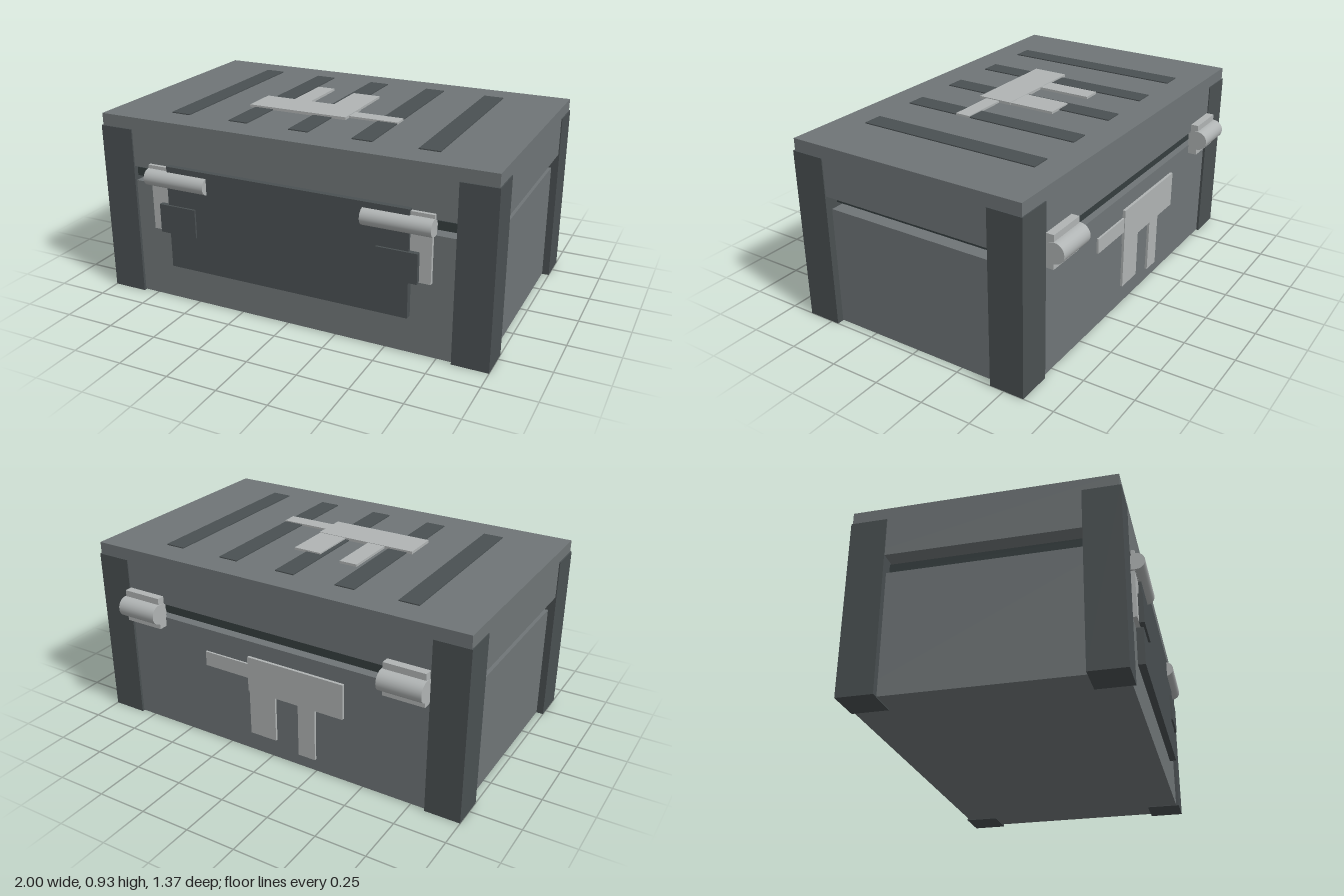
import * as THREE from 'three';

const mat = (color) => new THREE.MeshStandardMaterial({ color, flatShading: false });

export function createModel() {
  const root = new THREE.Group();
  const shell = mat(0x6f7577), dark = mat(0x4a5052), seal = mat(0x353e3f), metal = mat(0xb0b4b4);

  // Box given by its minimum and maximum along each axis
  const box = (name, material, [x0, x1], [y0, y1], [z0, z1], parent = root) => {
    const mesh = new THREE.Mesh(new THREE.BoxGeometry(x1 - x0, y1 - y0, z1 - z0), material);
    mesh.position.set((x0 + x1) / 2, (y0 + y1) / 2, (z0 + z1) / 2);
    mesh.name = name;
    parent.add(mesh);
    return mesh;
  };
  // Cylinder lying along x
  const rod = (name, x0, x1, y, z, r) => {
    const mesh = new THREE.Mesh(new THREE.CylinderGeometry(r, r, x1 - x0, 24), metal);
    mesh.rotation.z = Math.PI / 2;
    mesh.position.set((x0 + x1) / 2, y, z);
    mesh.name = name;
    root.add(mesh);
  };
  // Mirrored x range
  const span = (s, a, b) => (s > 0 ? [a, b] : [-b, -a]);

  // Crate body, lid and the seal slab floating in the gap between them
  box('body', shell, [-0.965, 0.965], [0.003, 0.598], [-0.588, 0.618]);
  box('lid', shell, [-0.995, 0.995], [0.673, 0.92], [-0.595, 0.625]);
  box('seal', seal, [-0.93, 0.93], [0.62, 0.662], [-0.575, 0.605]);

  // Front panel
  box('frontPanel', dark, [-0.62, 0.62], [0.19, 0.71], [0.61, 0.652]);

  for (const s of [1, -1]) {
    const side = s > 0 ? 'left' : 'right';
    // Corner posts
    box(side + 'FrontPost', dark, span(s, 0.825, 1), [0, 0.86], [0.46, 0.632]);
    box(side + 'BackPost', dark, span(s, 0.825, 1), [0, 0.86], [-0.6, -0.428]);

    // Front latches: strap, top plate, catch and roller
    box(side + 'LatchStrap', metal, span(s, 0.6, 0.72), [0.37, 0.68], [0.61, 0.638]);
    box(side + 'LatchPlate', metal, span(s, 0.6, 0.73), [0.6, 0.7], [0.61, 0.642]);
    box(side + 'LatchCatch', dark, span(s, 0.467, 0.665), [0.37, 0.515], [0.615, 0.662]);
    rod(side + 'LatchRoller', ...span(s, 0.4, 0.73), 0.642, 0.646, 0.041);

    // Back hinges
    box(side + 'HingePlate', metal, span(s, 0.615, 0.82), [0.552, 0.714], [-0.634, -0.585]);
    rod(side + 'HingePin', ...span(s, 0.61, 0.825), 0.633, -0.637, 0.05);
  }

  // Ribs on the lid
  for (let i = -2; i <= 2; i++) {
    const x = i * 0.319 - 0.002;
    box('lidRib', dark, [x - 0.05, x + 0.05], [0.91, 0.925], [-0.455, 0.478]);
  }

  // Flat blocky emblem, lying in x/z with its face towards +y
  const emblem = (name) => {
    const g = new THREE.Group();
    g.name = name;
    box('emblemBar', metal, [-0.4, 0.12], [-0.01, 0.014], [0.05, 0.23], g);
    box('emblemShortLeg', metal, [-0.03, 0.115], [-0.01, 0.012], [-0.187, 0.06], g);
    box('emblemLongLeg', metal, [-0.25, -0.158], [-0.01, 0.012], [-0.222, 0.06], g);
    box('emblemArm', metal, [0.11, 0.37], [-0.01, 0.01], [0.115, 0.19], g);
    root.add(g);
    return g;
  };
  emblem('lidEmblem').position.y = 0.92;
  const back = emblem('backEmblem');
  back.rotation.x = -Math.PI / 2;
  back.position.set(0, 0.29, -0.588);

  return root;
}
